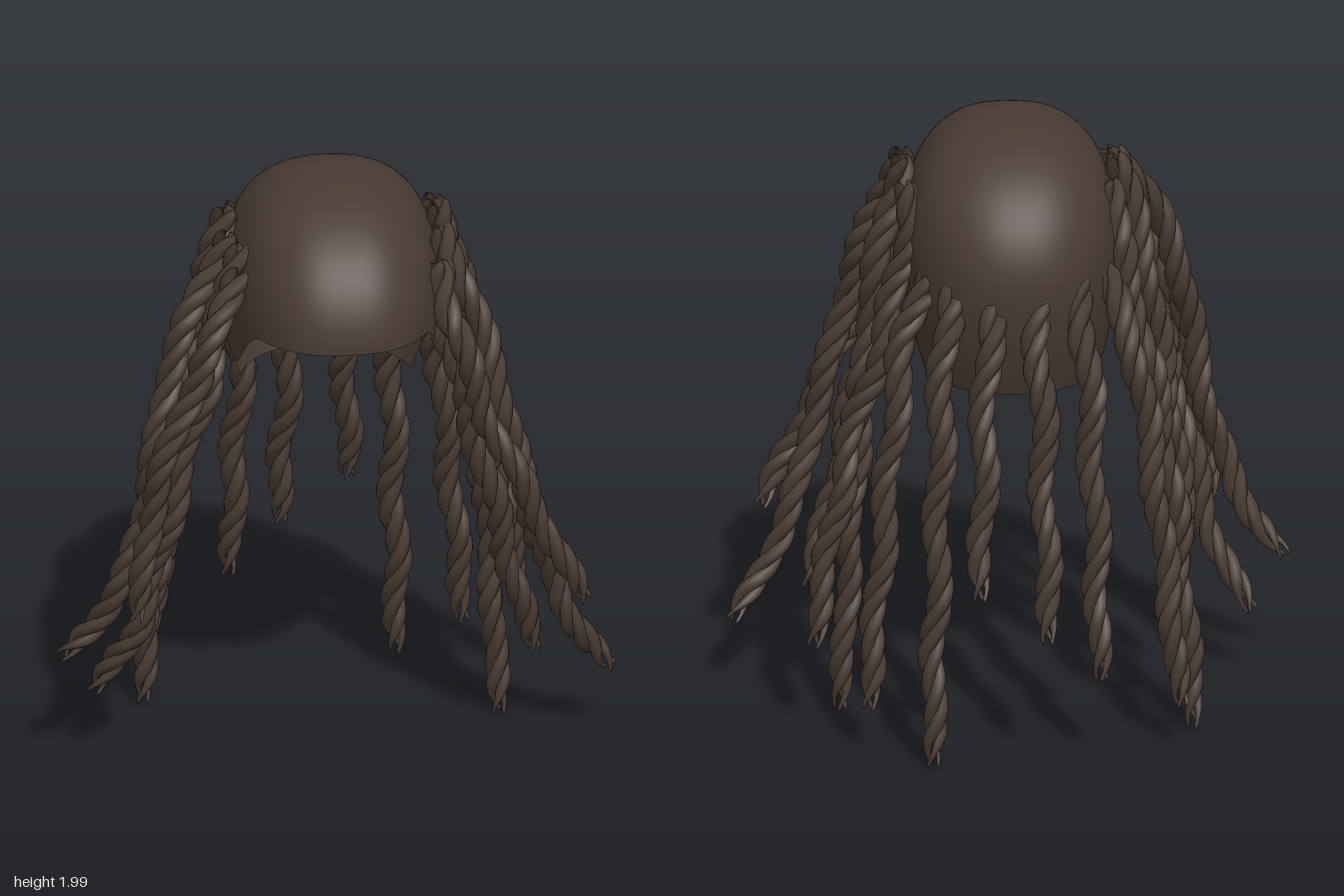
import * as THREE from 'three';
import { mergeGeometries } from 'three/addons/utils/BufferGeometryUtils.js';

const hair = new THREE.MeshStandardMaterial({ color: 0x483a31, side: THREE.DoubleSide });
hair.name = 'darkBrownHair';

// Height of the cap's lower edge: brow, ears, nape
function rimHeight(z) {
  const ear = THREE.MathUtils.smoothstep(z, 0.25, 0.48);
  const nape = THREE.MathUtils.smoothstep(z, -0.13, -0.05);
  return 1.2 + 0.2 * nape + 0.17 * ear;
}

// Open dome: a rounded oblong plan, drawn in below the crown
function capGeometry(cols = 96, rows = 28) {
  const pos = [], index = [];
  const pow = (v, e) => Math.sign(v) * Math.abs(v) ** e;
  const dome = (u, n) => (1 - (1 - u) ** n) ** (1 / n);
  for (let j = 0; j <= rows; j++) {
    for (let i = 0; i < cols; i++) {
      const a = (i / cols) * Math.PI * 2, sin = Math.sin(a);
      const e = 0.84 - 0.07 * sin;
      const px = (0.345 - 0.025 * sin) * pow(Math.cos(a), e);
      const pz = 0.505 * pow(sin, e);
      const y = 2 - (2 - rimHeight(pz + 0.12)) * (j / rows) ** 1.7;
      const u = Math.min(1, (2 - y) / 0.43);
      const k = Math.max(0, (1.57 - y) / 0.37);
      const taper = 1 - 0.15 * k * k;
      pos.push(px * dome(u, 2.4) * taper, y, 0.12 + pz * dome(u, 2) * taper);
      if (j < rows) {
        const p = j * cols + i, q = j * cols + (i + 1) % cols;
        if (j > 0) index.push(p, q, p + cols);
        index.push(q, q + cols, p + cols);
      }
    }
  }
  const g = new THREE.BufferGeometry();
  g.setAttribute('position', new THREE.Float32BufferAttribute(pos, 3));
  g.setIndex(index);
  g.computeVertexNormals();
  for (let i = 0; i < cols; i++) g.attributes.normal.setXYZ(i, 0, 1, 0);
  return g;
}

// Three tapering strands twisted round a gently wavy path
function lockGeometry(points, seed) {
  const path = new THREE.CatmullRomCurve3(points.map(p => new THREE.Vector3(...p)));
  const len = path.getLength(), N = Math.round(len * 64), sides = 6;
  const frames = path.computeFrenetFrames(N);
  const strands = [];
  for (let k = 0; k < 3; k++) {
    const pts = [];
    for (let i = 0; i <= N; i++) {
      const t = i / N, d = t * len;
      const a = (d / 0.29) * Math.PI * 2 + k * Math.PI * 2 / 3 + seed;
      const off = 0.024 * (1 - 0.2 * t);
      const wave = 0.014 * Math.sin(d * 14 + seed * 2) * Math.min(1, 5 * (1 - t));
      pts.push(path.getPointAt(t)
        .addScaledVector(frames.normals[i], off * Math.cos(a) + wave)
        .addScaledVector(frames.binormals[i], off * Math.sin(a) + wave * 0.7));
    }
    const curve = new THREE.CatmullRomCurve3(pts);
    curve.arcLengthDivisions = N * 3;
    const g = new THREE.TubeGeometry(curve, N, 1, sides);
    const p = g.attributes.position, c = new THREE.Vector3(), v = new THREE.Vector3();
    for (let i = 0; i <= N; i++) {
      const t = i / N;
      curve.getPointAt(t, c);
      // Rounded root, thin frayed tip
      const root = Math.sqrt(Math.min(1, t * 30));
      const tip = 0.3 + 0.7 * THREE.MathUtils.clamp((1 - t) * len * 12 - 0.4, 0, 1);
      const r = 0.026 * (1 - 0.12 * t) * root * (i === N ? 0.05 : tip);
      for (let s = 0; s <= sides; s++) {
        const n = i * (sides + 1) + s;
        v.fromBufferAttribute(p, n).sub(c).multiplyScalar(r).add(c);
        p.setXYZ(n, v.x, v.y, v.z);
      }
    }
    strands.push(g);
  }
  return mergeGeometries(strands);
}

// Paths from root to tip
const temple = [
  [[0.32, 1.76, 0.33], [0.38, 1.5, 0.42], [0.53, 1.1, 0.41], [0.68, 0.8, 0.4], [0.79, 0.56, 0.36]],
  [[0.33, 1.84, 0.23], [0.46, 1.5, 0.32], [0.6, 0.95, 0.35], [0.71, 0.55, 0.27], [0.89, 0.24, 0.18]],
  [[0.32, 1.75, 0.3], [0.36, 1.45, 0.38], [0.45, 1.1, 0.38], [0.56, 0.65, 0.31], [0.64, 0.33, 0.22]],
  [[-0.32, 1.76, 0.33], [-0.43, 1.5, 0.42], [-0.58, 1.1, 0.42], [-0.66, 0.56, 0.38]],
  [[-0.32, 1.82, 0.25], [-0.4, 1.5, 0.34], [-0.54, 0.95, 0.36], [-0.65, 0.5, 0.28], [-0.78, 0.24, 0.2]],
  [[-0.34, 1.84, 0.22], [-0.53, 1.45, 0.32], [-0.64, 0.9, 0.36], [-0.74, 0.6, 0.34], [-0.89, 0.4, 0.28]],
];
const side = [
  [[0.34, 1.87, 0.1], [0.43, 1.5, 0.06], [0.5, 0.8, 0.01], [0.55, 0.01, -0.02]],
  [[0.33, 1.83, -0.03], [0.34, 1.62, -0.08], [0.41, 1.35, -0.13], [0.54, 0.9, -0.17], [0.64, 0.31, -0.24]],
  [[-0.34, 1.87, 0.1], [-0.43, 1.5, 0.06], [-0.51, 1.0, 0.02], [-0.57, 0.56, 0]],
  [[-0.33, 1.83, -0.03], [-0.34, 1.62, -0.08], [-0.41, 1.35, -0.13], [-0.51, 0.8, -0.17], [-0.58, 0.01, -0.22]],
];
// Nape locks: root x, root z, tip x, tip y, tip z
const nape = [
  [0.27, -0.17, 0.47, 0.16, -0.41], [-0.27, -0.17, -0.53, 0.16, -0.42],
  [0.2, -0.25, 0.27, 0.01, -0.53], [-0.2, -0.25, -0.27, 0.3, -0.54],
  [0.07, -0.29, 0.12, 0.6, -0.6], [-0.06, -0.29, -0.1, 0.45, -0.6],
].map(([x, z, tx, ty, tz]) => [
  [x, 1.59, z],
  [x + (tx - x) * 0.4, 1.36, z + (tz - z) * 0.4],
  [x + (tx - x) * 0.75, 0.7 + 0.4 * ty, z + (tz - z) * 0.72],
  [tx, ty, tz],
]);

export function createModel() {
  const model = new THREE.Group();
  model.name = 'lockedHair';
  const cap = new THREE.Mesh(capGeometry(), hair);
  cap.name = 'hairCap';
  model.add(cap);
  let seed = 0;
  for (const [name, paths] of Object.entries({ temple, side, nape })) {
    const group = new THREE.Group();
    group.name = name + 'Locks';
    for (const path of paths) {
      const lock = new THREE.Mesh(lockGeometry(path, seed++ * 1.3), hair);
      lock.name = name + 'Lock';
      group.add(lock);
    }
    model.add(group);
  }
  return model;
}
